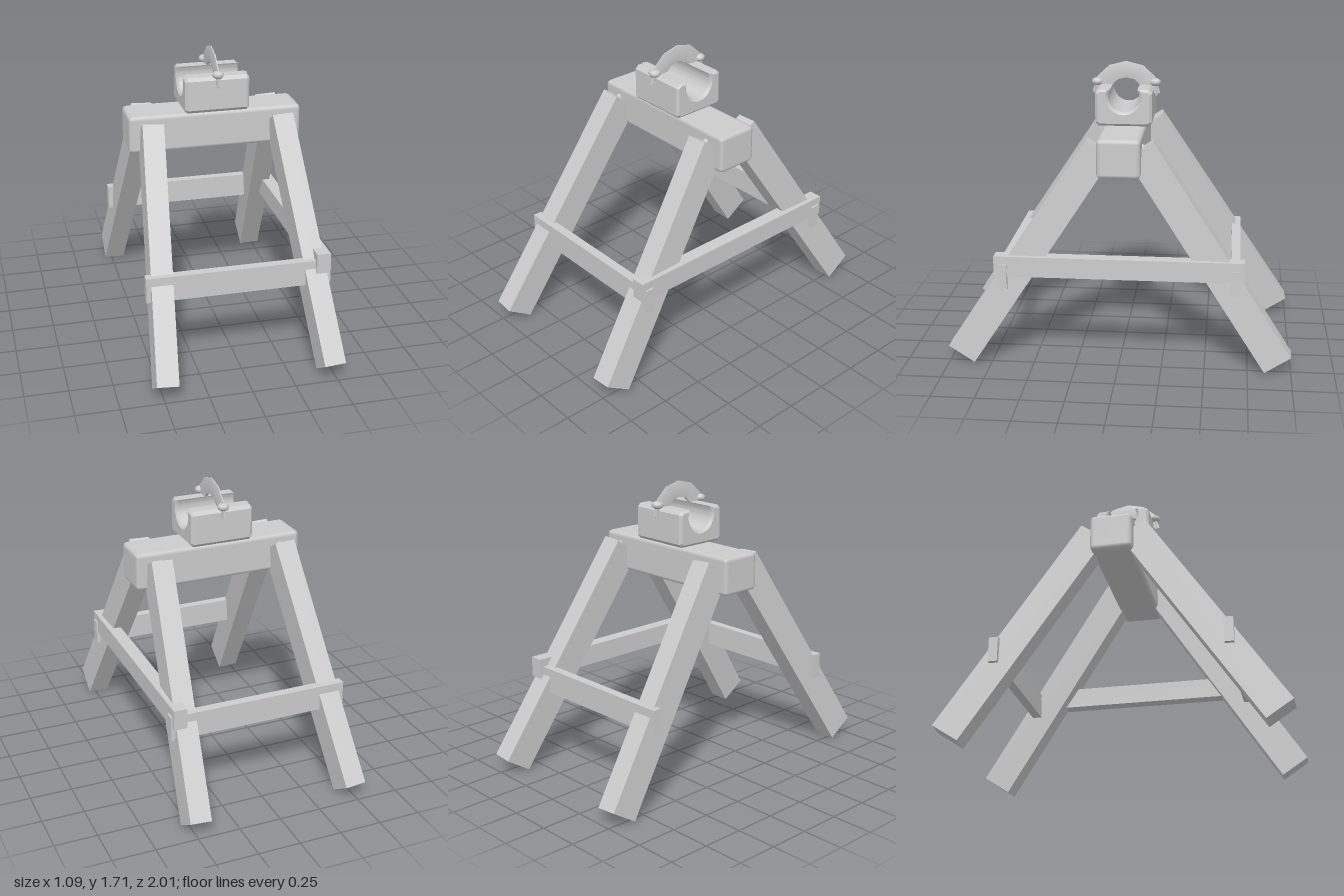
import * as THREE from 'three';
import { toCreasedNormals } from 'three/addons/utils/BufferGeometryUtils.js';
import { RoundedBoxGeometry } from 'three/addons/geometries/RoundedBoxGeometry.js';

export function createModel() {
  const group = new THREE.Group();
  const grey = new THREE.MeshStandardMaterial({ color: 0xcccccc });
  grey.name = 'pale grey';
  const greyThin = grey;
  greyThin.side = THREE.DoubleSide;

  const add = (name, geometry, x = 0, y = 0, z = 0) => {
    const mesh = new THREE.Mesh(geometry, grey);
    mesh.name = name;
    mesh.position.set(x, y, z);
    group.add(mesh);
    return mesh;
  };

  // Top beam with softened edges
  add('topBeam', new RoundedBoxGeometry(1.03, 0.225, 0.25, 1, 0.025), 0, 1.25, 0);

  // Four splayed legs: square-cut boxes aligned to a slanted axis
  const addLeg = (sx, sz) => {
    const foot = new THREE.Vector3(0.482 * sx, 0.058, 0.925 * sz);
    const head = new THREE.Vector3(0.385 * sx, 1.29, 0.118 * sz);
    const up = head.clone().sub(foot);
    const length = up.length();
    up.normalize();
    const out = new THREE.Vector3(0, -up.z, up.y).normalize();
    const side = new THREE.Vector3().crossVectors(up, out).normalize();
    const leg = add('leg', new THREE.BoxGeometry(0.125, length, 0.18));
    leg.quaternion.setFromRotationMatrix(new THREE.Matrix4().makeBasis(side, up, out));
    leg.position.copy(foot).add(head).multiplyScalar(0.5);
  };

  for (const sz of [1, -1]) {
    for (const sx of [1, -1]) {
      addLeg(sx, sz);
      // Peg where the leg meets the beam
      add('legPeg', new THREE.SphereGeometry(0.02, 10, 6), 0.385 * sx, 1.295, 0.125 * sz);
    }
    // Cross rails joining each pair of legs
    add('crossRail', new THREE.BoxGeometry(1.075, 0.148, 0.054), 0, 0.546, 0.67 * sz);
  }

  // Single long rail on the model's left
  add('sideRail', new THREE.BoxGeometry(0.08, 0.12, 1.44), 0.487, 0.608, 0);

  // Cradle block with a round groove along x
  const w = 0.165, low = 1.37, high = 1.583, c = 0.02, r = 0.09, cy = 1.54;
  const a = Math.asin((high - cy) / r);
  const profile = new THREE.Shape();
  profile.moveTo(-w + c, low);
  profile.lineTo(w - c, low);
  profile.lineTo(w, low + c);
  profile.lineTo(w, high - c);
  profile.lineTo(w - c, high);
  profile.lineTo(r * Math.cos(a), high);
  profile.absarc(0, cy, r, a, -Math.PI - a, true);
  profile.lineTo(-w + c, high);
  profile.lineTo(-w, high - c);
  profile.lineTo(-w, low + c);
  profile.closePath();
  const bevel = 0.014;
  const block = new THREE.ExtrudeGeometry(profile, {
    depth: 0.38 - 2 * bevel, curveSegments: 24,
    bevelEnabled: true, bevelSegments: 1,
    bevelSize: bevel, bevelThickness: bevel, bevelOffset: -bevel,
  });
  block.translate(0, 0, -0.19 + bevel);
  block.rotateY(Math.PI / 2);
  add('cradleBlock', toCreasedNormals(block, 0.5));

  // Tapered strap arching over the groove, sharp on its outer edge
  const section = [
    [0.097, -0.008], [0.15, -0.0136], [0.2, -0.003],
    [0.2, 0.003], [0.15, 0.0136], [0.097, 0.008], [0.097, -0.008],
  ].map(([x, y]) => new THREE.Vector2(x, y));
  const strap = new THREE.LatheGeometry(section, 6, Math.PI, Math.PI);
  strap.rotateZ(-Math.PI / 2);
  strap.scale(1, 0.925, 1);
  add('strap', toCreasedNormals(strap, 0.4), 0, 1.535, 0);

  // Domed bolt heads and their shanks at both strap ends
  for (const sz of [1, -1]) {
    const dome = new THREE.SphereGeometry(0.036, 8, 6);
    dome.scale(1, 0.65, 1);
    add('boltHead', dome, 0, 1.598, 0.17 * sz);
    add('boltShank', new THREE.CylinderGeometry(0.012, 0.008, 0.07, 8), 0, 1.555, 0.178 * sz);
  }

  return group;
}
